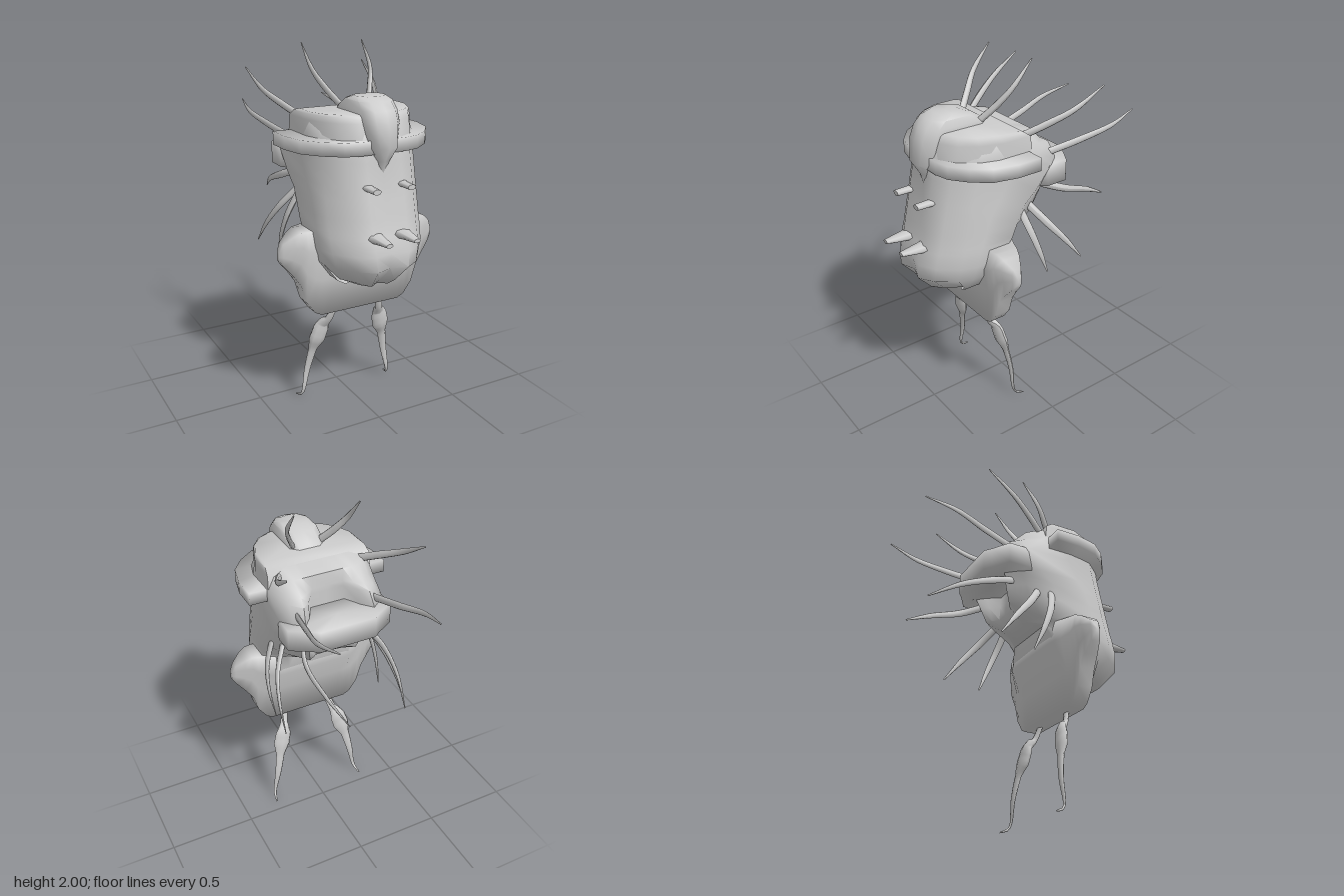
import * as THREE from 'three';
import { toCreasedNormals } from 'three/addons/utils/BufferGeometryUtils.js';

const material = new THREE.MeshStandardMaterial({ color: 0xcccccc });
const { lerp } = THREE.MathUtils;

// Closed solid through a stack of equal-length rings of [x, y, z], with fan caps.
function loft(rings, crease = 1.1) {
  const n = rings[0].length, pos = rings.flat(2), idx = [];
  for (let i = 0; i < rings.length - 1; i++) {
    for (let j = 0; j < n; j++) {
      const a = i * n + j, b = i * n + (j + 1) % n;
      idx.push(a, b, a + n, b, b + n, a + n);
    }
  }
  [rings[0], rings[rings.length - 1]].forEach((ring, end) => {
    const c = pos.length / 3, base = end ? (rings.length - 1) * n : 0;
    for (let k = 0; k < 3; k++) pos.push(ring.reduce((s, p) => s + p[k], 0) / n);
    for (let j = 0; j < n; j++) {
      const a = base + j, b = base + (j + 1) % n;
      end ? idx.push(c, a, b) : idx.push(c, b, a);
    }
  });
  const g = new THREE.BufferGeometry();
  g.setAttribute('position', new THREE.Float32BufferAttribute(pos, 3));
  g.setIndex(idx);
  return toCreasedNormals(g, crease);
}

// Horizontal ring from a half outline of [x, z], front centre to back centre.
function mirrorRing(half, y) {
  const right = half.map(([x, z]) => [x, y, z]);
  const left = half.slice(1, -1).reverse().map(([x, z]) => [-x, y, z]);
  return [...right, ...left];
}

// Tube with a radius that follows a list, squeezed in x and z.
function taperTube(points, radii, squeezeX, squeezeZ) {
  const curve = new THREE.CatmullRomCurve3(points.map(p => new THREE.Vector3(...p)), false, 'centripetal');
  const seg = 30, sides = 8, g = new THREE.TubeGeometry(curve, seg, 1, sides, false);
  const p = g.attributes.position, v = new THREE.Vector3();
  for (let i = 0; i <= seg; i++) {
    const c = curve.getPointAt(i / seg), f = (i / seg) * (radii.length - 1);
    const k = Math.min(Math.floor(f), radii.length - 2);
    const r = lerp(radii[k], radii[k + 1], f - k);
    for (let j = 0; j <= sides; j++) {
      const q = i * (sides + 1) + j;
      v.fromBufferAttribute(p, q).sub(c).multiplyScalar(r);
      p.setXYZ(q, c.x + v.x * squeezeX, c.y + v.y, c.z + v.z * squeezeZ);
    }
  }
  g.computeVertexNormals();
  return g;
}

export function createModel() {
  const group = new THREE.Group();
  const add = (name, geometry) => {
    const mesh = new THREE.Mesh(geometry, material);
    mesh.name = name;
    group.add(mesh);
    return mesh;
  };

  // Head: y, half width, front z, furrow, z where the sides turn in, back half width, back z, hollow
  const levels = [
    [0.79, 0.15, 0.48, 0.03, 0.3, 0.12, 0.22, 0], [0.82, 0.2, 0.52, 0.04, 0.28, 0.16, 0.21, 0],
    [0.92, 0.275, 0.61, 0.03, 0.2, 0.22, 0.13, 0], [1.0, 0.295, 0.605, 0.02, 0.18, 0.22, 0.1, 0],
    [1.08, 0.3, 0.585, 0.03, 0.17, 0.18, 0.09, 0], [1.11, 0.3, 0.575, 0.03, 0.15, 0.1, 0.0, 0],
    [1.18, 0.3, 0.56, 0.03, 0.12, 0.14, -0.12, 0.05], [1.27, 0.3, 0.54, 0.03, 0.08, 0.16, -0.15, 0.09],
    [1.34, 0.3, 0.525, 0.025, 0.0, 0.18, -0.17, 0.12], [1.46, 0.3, 0.5, 0.01, -0.1, 0.2, -0.2, 0.15],
    [1.54, 0.3, 0.49, 0, 0.0, 0.19, -0.16, 0.11], [1.57, 0.3, 0.48, 0, 0.03, 0.18, -0.11, 0.06],
    [1.64, 0.285, 0.45, 0, 0.07, 0.19, -0.04, 0], [1.68, 0.25, 0.41, 0, 0.15, 0.18, 0.11, 0],
  ];
  add('head', loft(levels.map(([y, w, zf, furrow, zs, bw, zb, hollow]) => mirrorRing([
    [0, zf - furrow], [w * 0.33, zf], [w * 0.62, zf - 0.05], [w * 0.9, zf - 0.15],
    [w, lerp(zs, zf, 0.45)], [w, zs], [lerp(w, bw, 0.5), lerp(zs, zb, 0.6)], [bw, zb],
    [bw * 0.75, zb + hollow * 0.4], [bw * 0.5, zb + hollow], [0, zb + hollow],
  ], y))));

  // Shelf across the hollow at the back
  const shelf = [[0, 0], [0.24, 0], [0.3, -0.08], [0.3, -0.2], [0.2, -0.26], [0.16, -0.29], [0, -0.29]];
  add('rearShelf', loft([mirrorRing(shelf, 1.34), mirrorRing(shelf, 1.46)], 1.7));

  // Brow band wrapping the front
  const brow = [[0, 0.5], [0.13, 0.5], [0.21, 0.48], [0.3, 0.41], [0.37, 0.32], [0.4, 0.19], [0.4, 0.05], [0, 0.05]];
  add('brow', loft([mirrorRing(brow, 1.5), mirrorRing(brow, 1.57)], 1.7));

  // Cap above the brow: y, width scale, front z, back z
  const cap = [[0, 1], [0.12, 0.98], [0.2, 0.87], [0.26, 0.67], [0.3, 0.38], [0.3, 0], [0, 0]];
  const capLevels = [[1.55, 1, 0.485, 0.03], [1.65, 0.99, 0.465, 0.04], [1.68, 0.97, 0.45, 0.08], [1.69, 0.93, 0.43, 0.12]];
  add('cap', loft(capLevels.map(([y, s, zf, zb]) =>
    mirrorRing(cap.map(([x, t]) => [x * s, lerp(zb, zf, t)]), y)), 1.3));

  // Crest: y, half width, front z, back z
  const crest = [
    [1.4, 0.03, 0.495, 0.42], [1.46, 0.05, 0.51, 0.35], [1.53, 0.078, 0.553, 0.25],
    [1.65, 0.1, 0.535, 0.12], [1.71, 0.1, 0.51, 0.17], [1.75, 0.097, 0.47, 0.23], [1.77, 0.08, 0.42, 0.29],
  ];
  add('crest', loft(crest.map(([y, w, zf, zb]) => mirrorRing([
    [0, zf], [w * 0.6, zf - 0.01], [w, zf - 0.06], [w, zb + 0.04], [w * 0.6, zb], [0, zb],
  ], y))));

  // Collar plate, swelling into the back of the head:
  // x, top, bottom, front depth, back depth, bottom edge depth
  const half = [
    [0, 1.08, 0.59, 0.09, 0.14, 0.045], [0.2, 1.08, 0.59, 0.09, 0.138, 0.045], [0.24, 1.08, 0.59, 0.09, 0.13, 0.045],
    [0.28, 1.08, 0.61, 0.09, 0.11, 0.045], [0.33, 1.08, 0.68, 0.09, 0.085, 0.045],
    [0.36, 1.08, 0.78, 0.08, 0.075, 0.045], [0.4, 1.06, 0.84, 0.065, 0.06, 0.04],
    [0.45, 1.02, 0.9, 0.03, 0.03, 0.025], [0.47, 0.98, 0.93, 0.015, 0.015, 0.015],
  ];
  const columns = [...half.slice(1).reverse().map(([x, ...r]) => [-x, ...r]), ...half];
  add('collar', loft(columns.map(([x, t, b, front, back, edge]) => {
    const z = 0.237, m = lerp(b, t, 0.42), h = lerp(b, t, 0.75);
    return [[x, t, z + front * 0.7], [x, h, z + front], [x, m, z + lerp(edge, front, 0.3)], [x, b, z + edge],
      [x, b, z - edge], [x, m, z - lerp(edge, back, 0.1)], [x, h, z - back], [x, t, z - back * 0.9]];
  }), 1.7));

  // Paired blade-like spikes, base to tip
  const spikes = {
    crownSpike: [[0.08, 1.7, 0.2], [0.13, 1.78, 0.13], [0.172, 1.87, 0.06], [0.182, 2, -0.05]],
    templeSpike: [[0.22, 1.62, 0.06], [0.285, 1.68, -0.06], [0.345, 1.75, -0.2], [0.37, 1.85, -0.37]],
    upperRearSpike: [[0.22, 1.49, -0.14], [0.26, 1.53, -0.34], [0.292, 1.575, -0.52], [0.268, 1.62, -0.695]],
    lowerRearSpike: [[0.17, 1.32, -0.08], [0.225, 1.25, -0.25], [0.21, 1.18, -0.44], [0.16, 1.09, -0.61]],
    rearCheekSpike: [[0.24, 1.24, 0.01], [0.315, 1.12, -0.08], [0.352, 1.0, -0.18], [0.365, 0.87, -0.28]],
    frontCheekSpike: [[0.27, 1.24, 0.08], [0.325, 1.1, 0.04], [0.34, 0.97, -0.01], [0.33, 0.83, -0.07]],
  };
  for (const side of [1, -1]) {
    const label = side > 0 ? 'left' : 'right';
    const flip = pts => pts.map(([x, y, z]) => [x * side, y, z]);
    for (const [name, pts] of Object.entries(spikes)) {
      add(`${name}_${label}`, taperTube(flip(pts), [0.022, 0.021, 0.016, 0.004], 0.5, 1));
    }

    // Dangling feeler with a swollen middle
    add(`feeler_${label}`, taperTube(flip([
      [0.13, 0.64, 0.25], [0.167, 0.51, 0.205], [0.178, 0.49, 0.18], [0.205, 0.4, 0.16],
      [0.225, 0.33, 0.142], [0.255, 0.19, 0.122], [0.282, 0.05, 0.12], [0.288, 0.025, 0.105], [0.297, 0.008, 0.06],
    ]), [0.022, 0.022, 0.024, 0.05, 0.052, 0.028, 0.024, 0.02, 0.015, 0.01, 0.004], 1, 0.5));

    // Pegs on the face
    const upper = add(`upperPeg_${label}`, new THREE.CylinderGeometry(0.024, 0.03, 0.16, 8));
    upper.rotation.x = Math.PI / 2;
    upper.scale.z = 0.6;
    upper.position.set(0.1 * side, 1.34, 0.525);
    const lower = add(`lowerPeg_${label}`, new THREE.CylinderGeometry(0.02, 0.05, 0.15, 8));
    lower.rotation.x = Math.PI / 2;
    lower.scale.z = 0.55;
    lower.position.set(0.08 * side, 1.09, 0.622);
  }
  return group;
}
